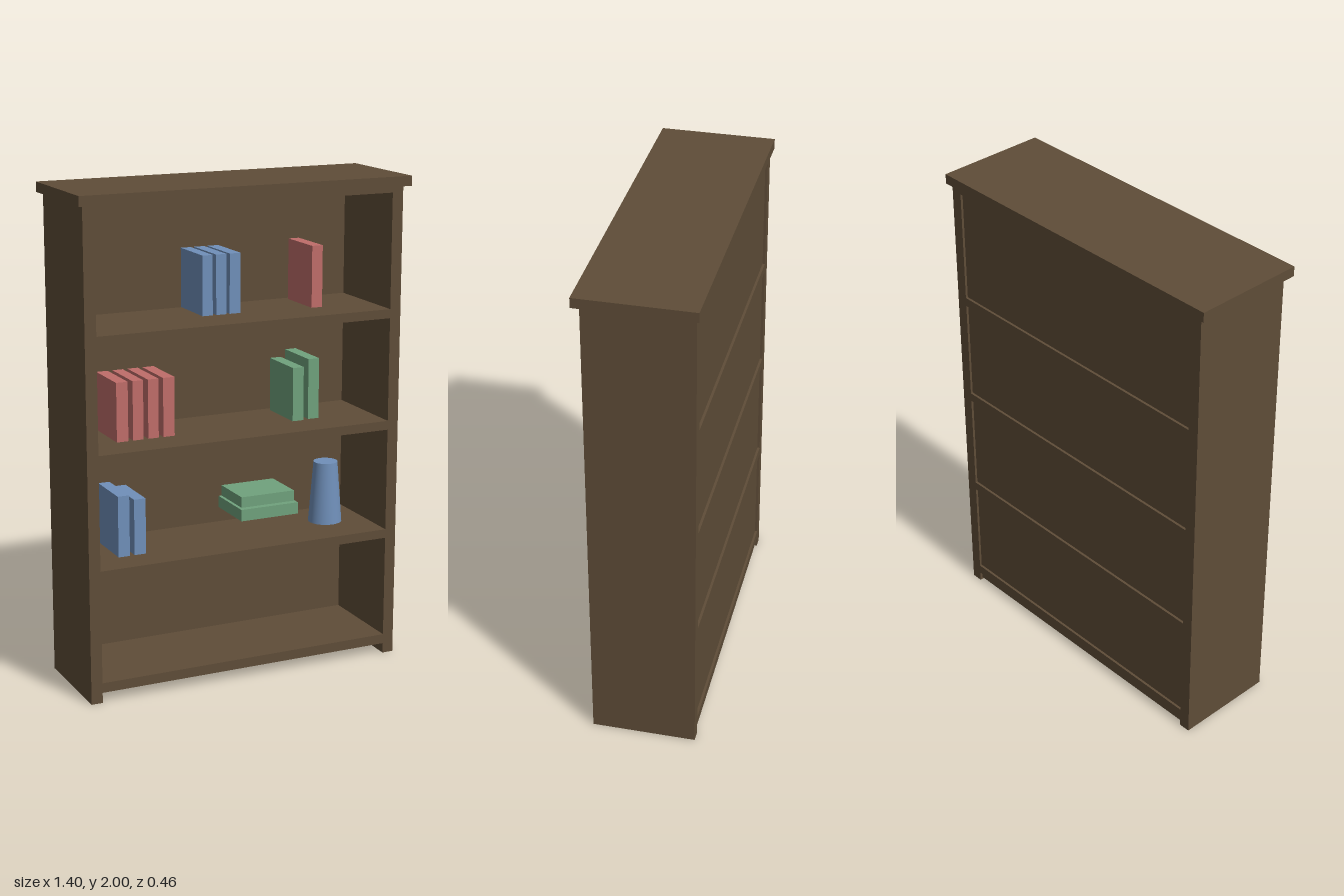
import * as THREE from 'three';

const mat = (name, color) => Object.assign(new THREE.MeshStandardMaterial({ color }), { name });

export function createModel() {
  const wood = mat('walnut wood', 0x5f4d38);
  const blue = mat('blue', 0x7090ba);
  const red = mat('red', 0xbf6d6a);
  const green = mat('green', 0x70a27d);
  const model = new THREE.Group();
  model.name = 'bookcase';

  // Box given by its limits on each axis
  const box = (name, material, [x0, x1], [y0, y1], [z0, z1]) => {
    const mesh = new THREE.Mesh(new THREE.BoxGeometry(x1 - x0, y1 - y0, z1 - z0), material);
    mesh.position.set((x0 + x1) / 2, (y0 + y1) / 2, (z0 + z1) / 2);
    mesh.name = name;
    model.add(mesh);
  };

  // Carcass: overhanging top, two sides, recessed back
  const depth = [-0.217, 0.203];
  box('topBoard', wood, [-0.7, 0.7], [1.96, 2], [-0.23, 0.23]);
  box('rightSide', wood, [-0.677, -0.63], [0, 1.96], depth);
  box('leftSide', wood, [0.63, 0.677], [0, 1.96], depth);
  box('backPanel', wood, [-0.63, 0.63], [0.012, 1.95], [-0.207, -0.189]);

  // Bottom, three shelves and the top rail, flush with the sides
  for (const [y0, y1] of [[0.042, 0.082], [0.506, 0.543], [0.968, 1.005], [1.43, 1.467], [1.934, 1.96]])
    box('shelf', wood, [-0.63, 0.63], [y0, y1], depth);

  // Upright books: colour, left edge, right edge, bottom, top
  const books = [
    [blue, -0.143, -0.1, 1.483, 1.721],
    [blue, -0.085, -0.041, 1.483, 1.721],
    [blue, -0.027, 0.02, 1.483, 1.721],
    [red, 0.334, 0.381, 1.477, 1.726],
    [red, -0.509, -0.461, 1.017, 1.254],
    [red, -0.441, -0.397, 1.017, 1.254],
    [red, -0.377, -0.333, 1.017, 1.254],
    [red, -0.313, -0.265, 1.017, 1.254],
    [green, 0.254, 0.302, 1.018, 1.238],
    [green, 0.323, 0.371, 1.02, 1.268],
    [blue, -0.509, -0.461, 0.549, 0.798],
    [blue, -0.441, -0.392, 0.549, 0.777],
  ];
  for (const [material, x0, x1, y0, y1] of books)
    box('book', material, [x0, x1], [y0, y1], [-0.118, 0.09]);

  // Two books lying flat
  box('lowerFlatBook', green, [0.021, 0.276], [0.629, 0.677], [-0.118, 0.1]);
  box('upperFlatBook', green, [0.029, 0.265], [0.681, 0.725], [-0.108, 0.085]);

  // Tapered vase
  const vase = new THREE.Mesh(new THREE.CylinderGeometry(0.05, 0.07, 0.257, 32), blue);
  vase.position.set(0.461, 0.673, -0.012);
  vase.name = 'vase';
  model.add(vase);

  return model;
}
